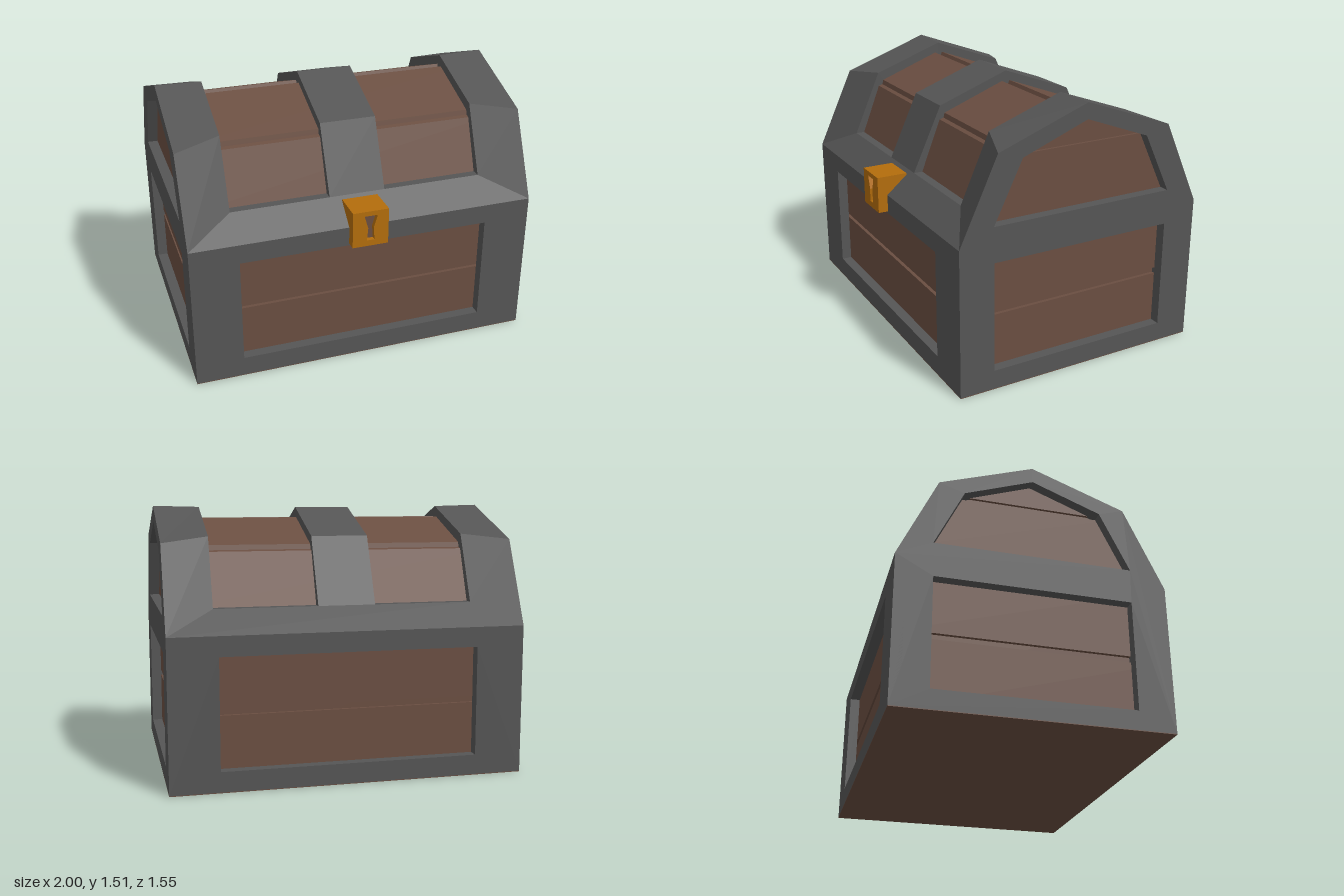
import * as THREE from 'three';

export function createModel() {
  const model = new THREE.Group();
  model.name = 'treasureChest';
  const mat = (name, color) => {
    const m = new THREE.MeshStandardMaterial({ color });
    m.name = name;
    return m;
  };
  const iron = mat('darkIron', 0x555555);
  const wood = mat('brownWood', 0x6a4e41);
  const brass = mat('brass', 0xb36d0c);

  // the chest sits slightly back so that the lock stays within bounds
  const chest = new THREE.Group();
  chest.name = 'chest';
  chest.position.z = -0.0275;
  model.add(chest);

  const add = (parent, name, geo, material) => {
    const mesh = new THREE.Mesh(geo, material);
    mesh.name = name;
    parent.add(mesh);
    return mesh;
  };
  const box = (name, w, y0, y1, d, material) =>
    add(chest, name, new THREE.BoxGeometry(w, y1 - y0, d).translate(0, (y0 + y1) / 2, 0), material);
  const vecs = (pts) => pts.map(([a, b]) => new THREE.Vector2(a, b));
  // full outline from its right half, listed bottom to top
  const mirror = (half) => [
    ...half,
    ...half.filter(([a]) => a > 0).reverse().map(([a, b]) => [-a, b]),
  ];
  const extrude = (pts, depth, holes = []) => {
    const shape = new THREE.Shape(vecs(pts));
    holes.forEach((h) => shape.holes.push(new THREE.Path(vecs(h))));
    return new THREE.ExtrudeGeometry(shape, { depth, bevelEnabled: false });
  };
  // cross-section in (z, y), swept along x from x0 to x1
  const sweep = (pts, x0, x1, holes) =>
    extrude(pts, x1 - x0, holes).rotateY(Math.PI / 2).translate(x0, 0, 0);
  const rect = (w, y0, y1) => [[w, y0], [w, y1], [-w, y1], [-w, y0]];

  // base and planked body, with a groove between the planks
  const Y0 = 0.004;
  box('base', 2, 0, Y0, 1.495, wood);
  box('bodyCore', 1.84, 0.02, 0.85, 1.335, wood);
  box('lowerPlanks', 1.88, 0.02, 0.41, 1.375, wood);
  box('upperPlanks', 1.88, 0.445, 0.85, 1.375, wood);

  // wooden lid with grooves at the knees and ridge
  const lid = mirror([
    [0.6, 0.85], [0.548, 0.975], [0.432, 1.27], [0.407, 1.277], [0.4, 1.305],
    [0.025, 1.445], [0.015, 1.422],
  ]);
  add(chest, 'lid', sweep(lid, -0.925, 0.925), wood);

  // framed ends: the outer contour tapers inward to the arch of the lid bands
  const outer = [[0.7475, Y0], [0.7475, 0.85], [0.5275, 1.325], [0, 1.515]];
  const inner = [[0.6, 0.05], [0.6, 0.975], [0.4325, 1.355], [0, 1.508]];
  const lowerHole = rect(0.545, 0.112, 0.74);
  const upperHole = mirror([[0.55, 0.94], [0.385, 1.28], [0, 1.425]]);
  const endGeo = sweep(mirror(outer), 0.735, 1, [lowerHole, upperHole]);
  const p = endGeo.attributes.position;
  for (let i = 0; i < p.count; i++) {
    if (p.getX(i) > 0.8) continue;
    const z = p.getZ(i);
    const k = outer.findIndex(([a, b]) =>
      Math.abs(Math.abs(z) - a) < 1e-4 && Math.abs(p.getY(i) - b) < 1e-4);
    if (k >= 0) p.setXYZ(i, 0.735, inner[k][1], Math.sign(z) * inner[k][0]);
  }
  endGeo.computeVertexNormals();

  for (const [side, angle] of [['left', 0], ['right', Math.PI]]) {
    const end = new THREE.Group();
    end.name = side + 'End';
    end.rotation.y = angle;
    chest.add(end);
    add(end, 'endFrame', endGeo, iron);
    // planks set into the arched opening
    const lowPlank = mirror([[0.56, 0.9], [0.548, 0.975], [0.432, 1.278]]);
    const topPlank = mirror([[0.4, 1.296], [0, 1.44]]);
    add(end, 'lowerEndPlank', sweep(lowPlank, 0.92, 0.94), wood);
    add(end, 'upperEndPlank', sweep(topPlank, 0.92, 0.94), wood);
  }

  // front and back frames with the sloping rail under the lid
  const railGeo = new THREE.BufferGeometry();
  railGeo.setAttribute('position', new THREE.Float32BufferAttribute([
    -1, 0.85, 0.7475, 1, 0.85, 0.7475, 0.735, 0.975, 0.6, -0.735, 0.975, 0.6,
    -0.735, 0.975, 0.6, 0.735, 0.975, 0.6, 0.735, 0.975, 0.5, -0.735, 0.975, 0.5,
  ], 3));
  railGeo.setIndex([0, 1, 2, 0, 2, 3, 4, 5, 6, 4, 6, 7]);
  railGeo.computeVertexNormals();
  const panelGeo = extrude(rect(1, Y0, 0.85), 0.06, [rect(0.725, 0.117, 0.738)])
    .translate(0, 0, 0.6875);
  for (const [side, angle] of [['front', 0], ['back', Math.PI]]) {
    const face = new THREE.Group();
    face.name = side + 'Face';
    face.rotation.y = angle;
    chest.add(face);
    add(face, 'faceFrame', panelGeo, iron);
    add(face, 'slopingRail', railGeo, iron);
  }

  // middle lid band
  const band = mirror([[0.6, 0.97], [0.6, 0.975], [0.4275, 1.35], [0, 1.505]]);
  add(chest, 'middleBand', sweep(band, -0.17, 0.155), iron);

  // lock with a recessed keyhole
  const lock = new THREE.Group();
  lock.name = 'lock';
  model.add(lock);
  const keyhole = mirror([[0.022, 0.785], [0.016, 0.86], [0.038, 0.935]]);
  const plate = [[-0.105, 0.75], [0.103, 0.75], [0.103, 0.963], [-0.105, 0.963]];
  add(lock, 'lockCase', extrude(plate, 0.18, [keyhole]).translate(0, 0, 0.597), brass);
  add(lock, 'keyhole', extrude(keyhole, 0.12).translate(0, 0, 0.63), wood);

  return model;
}
